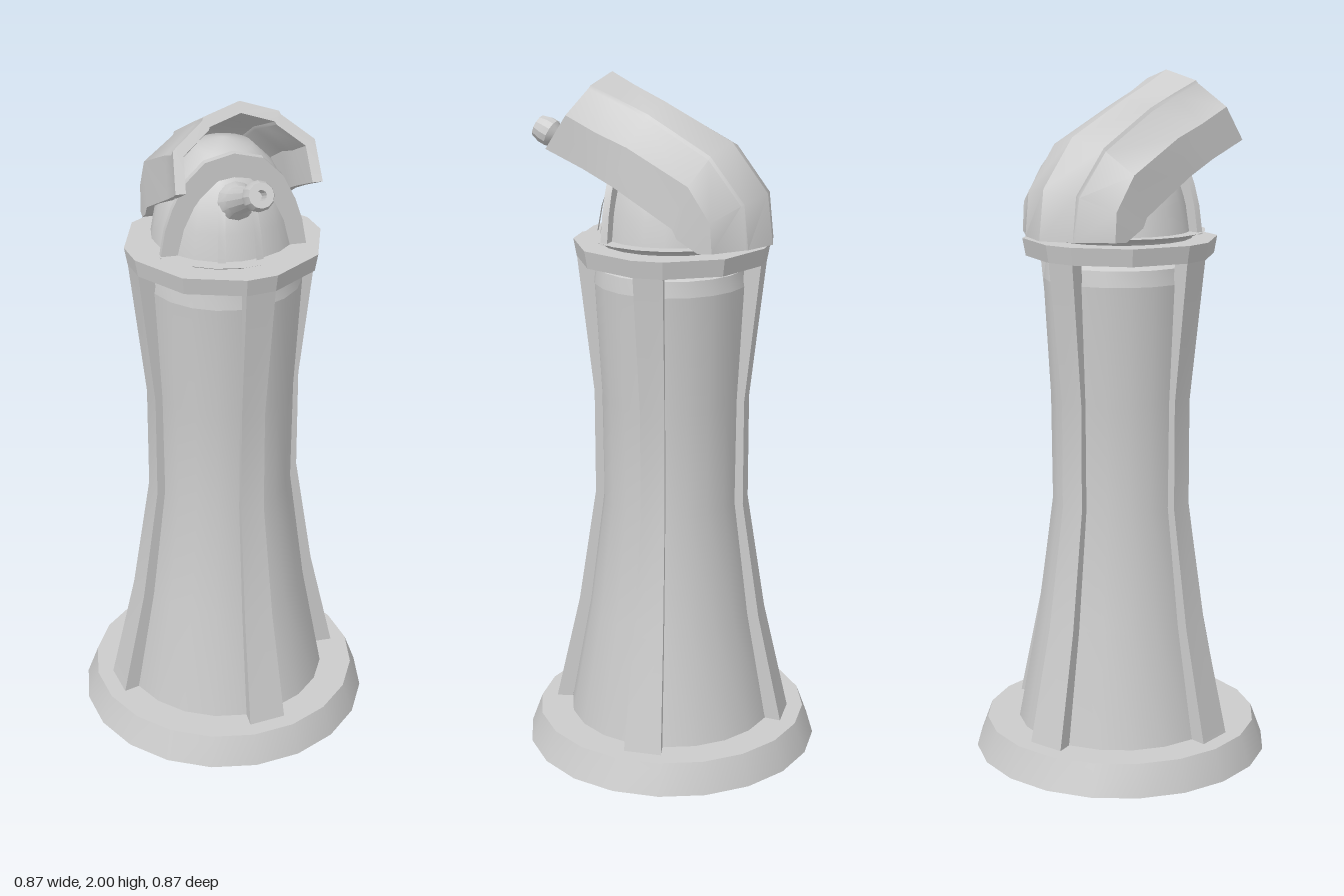
import * as THREE from 'three';
import { toCreasedNormals } from 'three/addons/utils/BufferGeometryUtils.js';

const SIDES = 20;
const material = new THREE.MeshStandardMaterial({ color: 0xcccccc });

function addMesh(parent, name, geometry, crease = 0.5) {
  const mesh = new THREE.Mesh(toCreasedNormals(geometry, crease), material);
  mesh.name = name;
  parent.add(mesh);
  return mesh;
}

function lathe(points, sides = SIDES, start = 0, length = Math.PI * 2) {
  return new THREE.LatheGeometry(points.map(([r, y]) => new THREE.Vector2(r, y)), sides, start, length);
}

// Skins closed rings of points; rings run counter-clockwise seen from the last one.
function loft(rings) {
  const n = rings[0].length;
  const index = [];
  const quad = (a, b, c, d) => index.push(a, b, c, a, c, d);
  for (let s = 0; s < rings.length - 1; s++) {
    for (let j = 0; j < n; j++) {
      const k = (j + 1) % n;
      quad(s * n + j, s * n + k, (s + 1) * n + k, (s + 1) * n + j);
    }
  }
  // End caps pair the first half of the ring with the second half
  const last = (rings.length - 1) * n;
  for (let i = 0; i < n / 2 - 1; i++) {
    const q = [i, i + 1, n - 2 - i, n - 1 - i];
    quad(...q.map((v) => v + last));
    quad(...q.reverse());
  }
  const geometry = new THREE.BufferGeometry();
  geometry.setAttribute('position', new THREE.Float32BufferAttribute(rings.flat(2), 3));
  geometry.setIndex(index);
  return geometry;
}

// Curved rib that fills one side of the twenty-sided column
function ribGeometry(theta) {
  const profile = [[0.357, 0.08], [0.28, 0.42], [0.226, 0.77], [0.226, 1.08], [0.272, 1.49]];
  const end = theta + (Math.PI * 2) / SIDES;
  const at = (r, y, a) => [r * Math.sin(a), y, r * Math.cos(a)];
  return loft(profile.map(([r, y]) => [
    at(r, y, theta), at(r, y, end), at(r - 0.048, y, end), at(r - 0.048, y, theta),
  ]));
}

// Flat-sided ring with its corners on the ribs and one midway between each pair
function ringGeometry() {
  const angles = [];
  for (let i = 0; i < 4; i++) for (const a of [0, 18, 54]) angles.push(THREE.MathUtils.degToRad(i * 90 + a));
  const level = (r, y) => angles.map((a) => [r * Math.sin(a), y, r * Math.cos(a)]);
  return loft([level(0.272, 1.485), level(0.281, 1.535)]);
}

// Thick arched hood, narrowed in the middle and bent down at the back
function hoodGeometry() {
  // Each row: lower edge, shoulder, upper crease, ridge; back to front
  const rows = [
    [[0.197, 1.55, -0.16], [0.195, 1.552, -0.2], [0.1, 1.55, -0.27], [0, 1.548, -0.305]],
    [[0.2, 1.585, -0.1], [0.195, 1.635, -0.195], [0.1, 1.675, -0.257], [0, 1.69, -0.288]],
    [[0.198, 1.612, -0.085], [0.195, 1.73, -0.13], [0.103, 1.8, -0.158], [0, 1.825, -0.182]],
    [[0.178, 1.71, 0.1], [0.172, 1.82, 0.06], [0.085, 1.9, 0.035], [0, 1.925, 0.02]],
    [[0.18, 1.755, 0.19], [0.175, 1.855, 0.15], [0.088, 1.938, 0.125], [0, 1.965, 0.11]],
    [[0.195, 1.805, 0.295], [0.188, 1.9, 0.235], [0.1, 1.972, 0.2], [0, 2.0, 0.18]],
  ];
  return loft(rows.map(([edge, shoulder, crease, ridge]) => {
    const shrink = ([x, y, z], k) => [x * k, edge[1] + (y - edge[1]) * k, edge[2] + (z - edge[2]) * k];
    // Small step down from the middle panel to the side panels
    const step = shrink(crease, 0.95);
    step[0] = crease[0] + 0.004;
    const half = [edge, shoulder, step, crease];
    const outer = [...half, ridge, ...half.reverse().map(([x, y, z]) => [-x, y, z])];
    outer.splice(0, 4, edge, shoulder, step, crease);
    return [...outer, ...outer.map((p) => shrink(p, 0.86)).reverse()];
  }));
}

export function createModel() {
  const model = new THREE.Group();
  model.name = 'turretTower';

  // Tower
  const base = addMesh(model, 'base', new THREE.CylinderGeometry(0.402, 0.435, 0.09, SIDES));
  base.position.y = 0.045;
  addMesh(model, 'column', lathe([
    [0.307, 0.085], [0.245, 0.42], [0.2, 0.77], [0.203, 1.08], [0.222, 1.42],
  ]));
  addMesh(model, 'columnCollar', lathe([[0.222, 1.42], [0.215, 1.465], [0.19, 1.475], [0.19, 1.5]]));
  for (let i = 0; i < 4; i++) addMesh(model, 'rib', ribGeometry((i * Math.PI) / 2));
  addMesh(model, 'topRing', ringGeometry(), 0.2);
  addMesh(model, 'turntable', lathe([
    [0.2, 1.53], [0.21, 1.542], [0.245, 1.556], [0, 1.556],
  ]));

  // Turret head
  const head = new THREE.Group();
  head.name = 'head';
  model.add(head);
  const domeProfile = [[0.204, 1.55], [0.19, 1.63], [0.17, 1.69], [0.135, 1.76], [0.08, 1.815], [0, 1.835]];
  addMesh(head, 'dome', lathe(domeProfile), 0.7);
  addMesh(head, 'hood', hoodGeometry(), 0.62);

  // Upright plate across the dome, following its outline
  const plateShape = new THREE.Shape([
    ...domeProfile.map(([x, y]) => new THREE.Vector2(x, y)),
    ...domeProfile.slice(0, -1).reverse().map(([x, y]) => new THREE.Vector2(-x, y)),
  ]);
  const plate = addMesh(head, 'domePlate', new THREE.ExtrudeGeometry(plateShape, { depth: 0.02, bevelEnabled: false }));
  plate.position.z = 0.107;

  // Raised frame either side of the gun slot
  for (const side of [-1, 1]) {
    const frame = lathe([[0.19, 1.557], [0.212, 1.557], [0.199, 1.63], [0.179, 1.69], [0.16, 1.72], [0.15, 1.72]],
      1, side * 0.25 - 0.05, 0.1);
    const jamb = addMesh(head, 'slotFrame', frame);
    jamb.material = material.clone();
    jamb.material.side = THREE.DoubleSide;
  }

  // Gun barrel, built upright and tilted forward
  const barrel = addMesh(head, 'barrel', lathe([
    [0, -0.06], [0.052, -0.06], [0.052, 0.03], [0.038, 0.06], [0.024, 0.25], [0.04, 0.268],
    [0.04, 0.29], [0.033, 0.315], [0.014, 0.315], [0.014, 0.26], [0, 0.26],
  ], 12));
  barrel.position.set(0, 1.7, 0.13);
  barrel.rotation.x = Math.PI / 2 - 0.44;

  return model;
}
